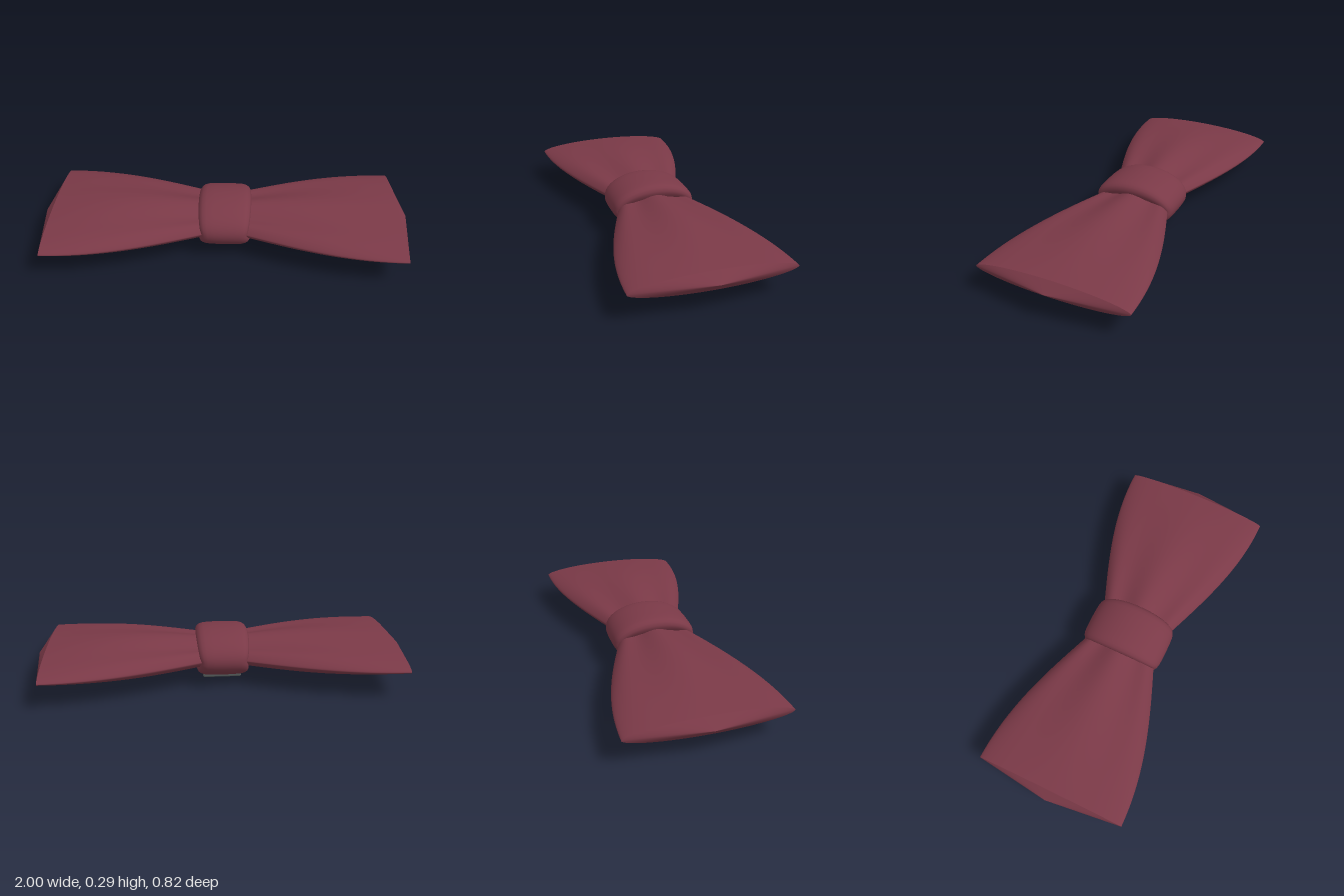
import * as THREE from 'three';
import { RoundedBoxGeometry } from 'three/addons/geometries/RoundedBoxGeometry.js';

const MID = 0.16; // height of the bow's middle plane
const cloth = new THREE.MeshStandardMaterial({ color: 0x7a3947 });
const metal = new THREE.MeshStandardMaterial({ color: 0x555b5b });

// Skin closed cross-sections: point(i, angle) returns [x, y, z], rows advance towards +x
function loft(rows, sides, point) {
  const pos = [], index = [];
  for (let i = 0; i < rows; i++) {
    for (let j = 0; j < sides; j++) pos.push(...point(i, (j / sides) * Math.PI * 2));
  }
  for (let i = 0; i < rows - 1; i++) {
    for (let j = 0; j < sides; j++) {
      const k = (j + 1) % sides;
      const a = i * sides + j, b = a + sides, c = i * sides + k, d = c + sides;
      index.push(a, b, c, b, d, c);
    }
  }
  const g = new THREE.BufferGeometry();
  g.setAttribute('position', new THREE.Float32BufferAttribute(pos, 3));
  g.setIndex(index);
  g.computeVertexNormals();
  return g;
}

// Point on the wing: t runs from the knot (0) to the flared end (1)
function wingPoint(t, angle) {
  const s = Math.sin(angle);
  const width = 0.2 + 0.21 * Math.sin((t * Math.PI) / 2);
  const thick = 0.05 + 0.02 * (1 - t) + 0.026 * Math.sin(Math.PI * t);
  const amp = 0.22 * (1 - t);
  const pleat = 1 - amp * 0.8 - amp * Math.cos(6 * angle) * 0.8; // lengthwise folds fade outwards
  return [
    0.1 + 0.85 * t,
    MID + thick * Math.sign(s) * Math.pow(Math.abs(s), 1.15) * pleat,
    width * Math.cos(angle),
  ];
}

function makeWing(name) {
  const wing = new THREE.Group();
  wing.name = name;
  const rows = 33;
  const body = new THREE.Mesh(loft(rows, 96, (i, a) => wingPoint(i / (rows - 1), a)), cloth);
  body.name = 'pleatedCloth';
  // Shallow point closing the outer end
  const cap = new THREE.Mesh(loft(2, 96, (i, a) => (i ? [1, MID, 0] : wingPoint(1, a))), cloth);
  cap.name = 'wingEnd';
  wing.add(body, cap);
  return wing;
}

function makeKnot() {
  // [fraction of half width, inset from the outer ellipse]
  const half = [[0, 0], [0.4, 0.001], [0.7, 0.004], [0.84, 0.01], [0.94, 0.02], [1, 0.036], [0.98, 0.055], [0.9, 0.075]];
  const profile = [...half.slice(1).reverse().map(([f, d]) => [-f, d]), ...half];
  const g = loft(profile.length, 64, (i, a) => {
    const [f, d] = profile[i];
    const s = Math.sin(a);
    const halfWidth = 0.124 + 0.02 * Math.abs(s); // pinched at the front and back
    return [f * halfWidth, MID + (0.13 - d) * s, (0.23 - d * 0.8) * Math.cos(a)];
  });
  const knot = new THREE.Mesh(g, cloth);
  knot.name = 'knot';
  return knot;
}

export function createModel() {
  const bow = new THREE.Group();
  bow.name = 'bowTie';

  const left = makeWing('leftWing');
  const right = makeWing('rightWing');
  right.rotation.y = Math.PI;

  // Small clip under the knot
  const clip = new THREE.Mesh(new RoundedBoxGeometry(0.214, 0.045, 0.108, 3, 0.01), metal);
  clip.name = 'clip';
  clip.position.y = 0.0225;

  bow.add(left, right, makeKnot(), clip);
  return bow;
}
